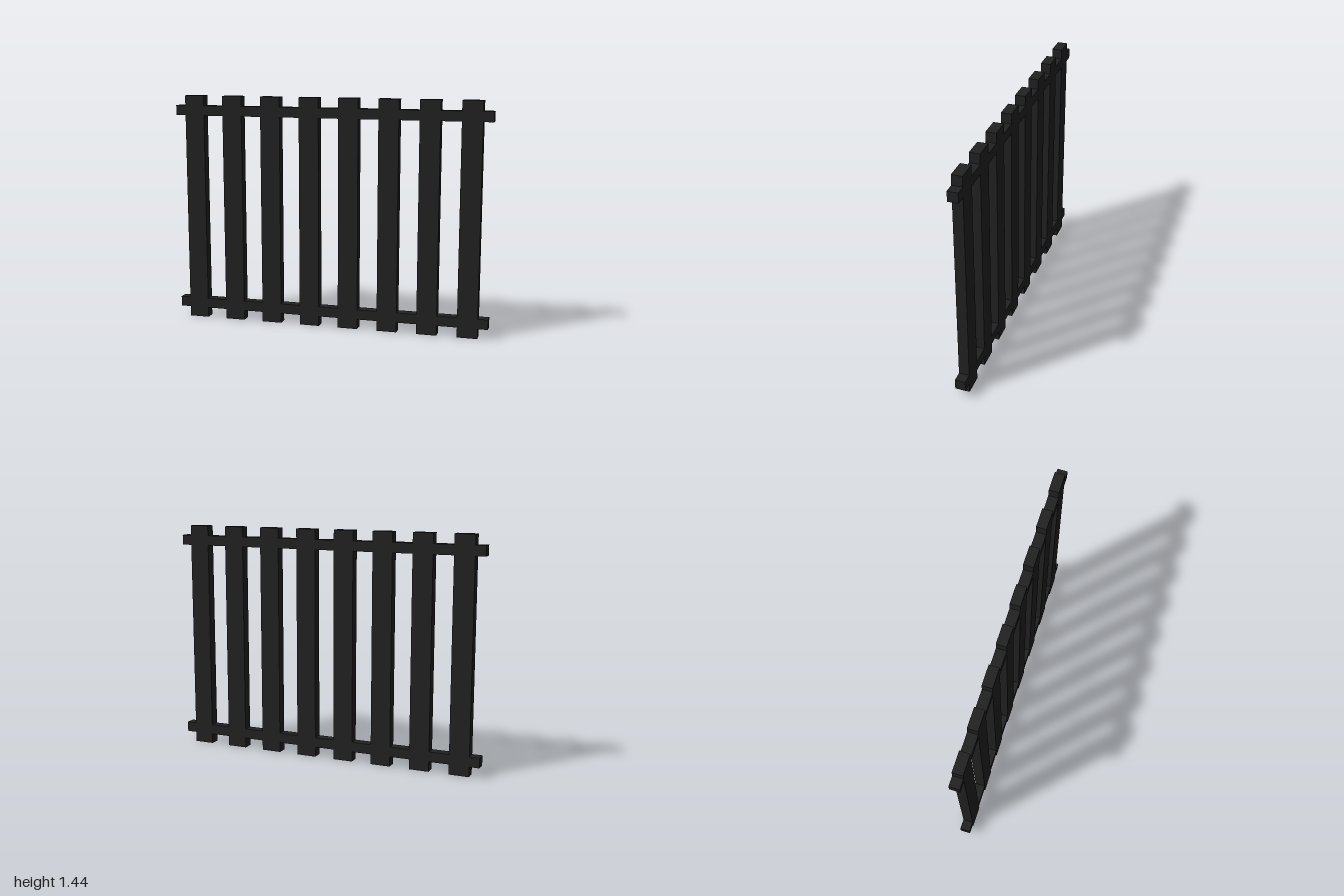
import * as THREE from 'three';

export function createModel() {
  const model = new THREE.Group();
  model.name = 'fencePanel';

  const paint = new THREE.MeshStandardMaterial({ color: 0x222222 });
  paint.name = 'charcoal black';

  const unit = 1 / 16; // thickness of the boards

  function board(name, width, height, x, y) {
    const mesh = new THREE.Mesh(new THREE.BoxGeometry(width, height, unit), paint);
    mesh.name = name;
    mesh.position.set(x, y, 0);
    model.add(mesh);
  }

  // Eight evenly spaced upright slats
  const slatHeight = 23 * unit;
  for (let i = 0; i < 8; i++) {
    board(`slat${i + 1}`, 2 * unit, slatHeight, (i - 3.5) * 4 * unit, slatHeight / 2);
  }

  // Rails flush with the slats, running past them at both ends
  board('bottomRail', 2, unit, 0, 1.5 * unit);
  board('topRail', 2, unit, 0, 21.5 * unit);

  return model;
}
